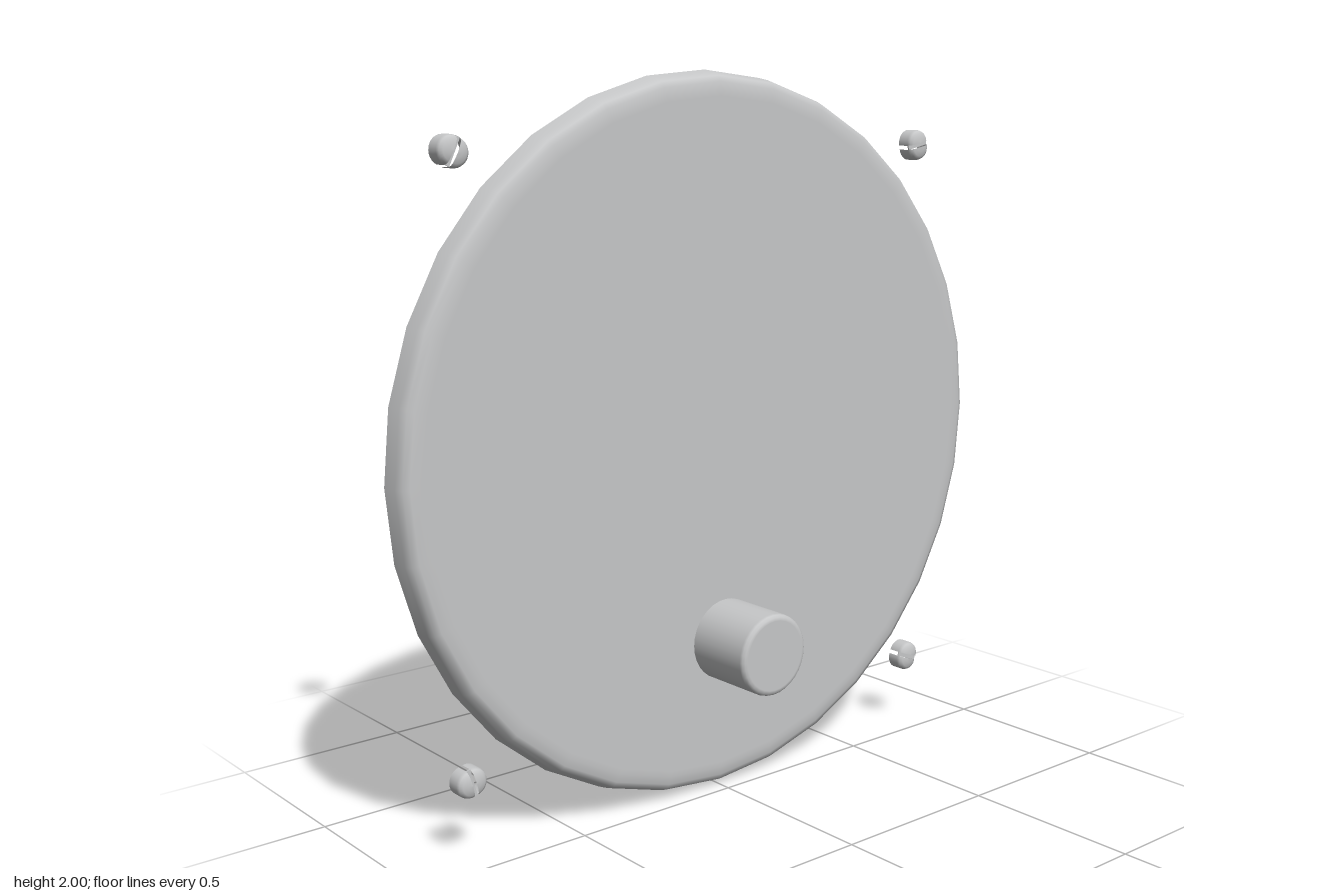
import * as THREE from 'three';

export function createModel() {
  const group = new THREE.Group();
  const grey = new THREE.MeshStandardMaterial({ color: 0xc6c7c8, side: THREE.DoubleSide });
  grey.name = 'plain grey';

  const add = (name, geometry, x = 0, y = 0, z = 0) => {
    const mesh = new THREE.Mesh(geometry, grey);
    mesh.name = name;
    mesh.position.set(x, y, z);
    group.add(mesh);
    return mesh;
  };

  // Revolve [radius, x] points around the x axis
  const turned = (points, segments, start = 0, length = Math.PI * 2) =>
    new THREE.LatheGeometry(points.map(p => new THREE.Vector2(...p)), segments, start, length)
      .rotateZ(-Math.PI / 2);

  // Front cover with a flared, softly rolled rim
  add('coverDish', turned([
    [1, -0.098], [0.993, -0.06], [0.984, -0.038], [0.968, -0.031],
    [0.945, -0.028], [0.93, -0.028], [0, -0.028],
  ], 32), 0, 1, 0);

  // Floor of the hollow back
  add('backFloor', turned([[0.925, -0.072], [0, -0.072]], 32), 0, 1, 0);

  // Open arc, leaving out everything lower than the cut distance below centre
  const arc = (radius, back, front, segments, cut) => {
    const dip = Math.asin(cut / radius);
    return turned([[radius, back], [radius, front]], segments, Math.PI - dip, Math.PI + 2 * dip);
  };
  const faceted = geometry => {
    const flat = geometry.toNonIndexed();
    flat.computeVertexNormals();
    return flat;
  };
  add('outerBand', faceted(turned([[0.927, -0.147], [0.927, -0.033]], 32)), 0, 1.01, 0);
  add('middleBand', arc(0.89, -0.185, -0.033, 52, 0.495), 0, 1, 0);
  add('innerBand', faceted(arc(0.64, -0.15, -0.072, 26, 0.475)), 0, 1, 0);

  // Thin plate on the floor, cut straight at the bottom with a tapered notch
  const plate = new THREE.Shape();
  const dip = Math.asin(0.4 / 0.885);
  plate.absarc(0, 0, 0.885, -dip, Math.PI + dip, false);
  plate.lineTo(-0.17, -0.4);
  plate.lineTo(-0.05, -0.1);
  plate.lineTo(0.05, -0.1);
  plate.lineTo(0.17, -0.4);
  plate.closePath();
  add('backPlate', new THREE.ExtrudeGeometry(plate, { depth: 0.004, bevelEnabled: false, curveSegments: 32 })
    .rotateY(Math.PI / 2), -0.077, 1, 0);

  // Knob with a softened front edge
  add('knob', turned([
    [0.115, -0.03], [0.115, 0.165], [0.113, 0.173], [0.107, 0.179], [0.1, 0.18], [0.098, 0.18], [0, 0.18],
  ], 32), 0, 0.434, -0.015);

  // Slotted screws: two hollow domed halves either side of a recessed strip
  const half = turned([
    [0.038, -0.098], [0.038, -0.064], [0.035, -0.055], [0.027, -0.049], [0.013, -0.046], [0, -0.045],
  ], 14, 0, Math.PI).translate(0, -0.006, 0);
  const strip = new THREE.BoxGeometry(0.004, 0.012, 0.076);
  const screws = [[1.795, 0.805, 65], [1.795, -0.79, 12], [0.21, 0.805, -75], [0.21, -0.79, -20]];
  for (const [y, z, slot] of screws) {
    const angle = THREE.MathUtils.degToRad(slot);
    add('screwSlot', strip, -0.062, y, z).rotation.x = angle;
    add('screwHead', half, 0, y, z).rotation.x = angle;
    add('screwHead', half, 0, y, z).rotation.x = angle + Math.PI;
  }
  return group;
}
